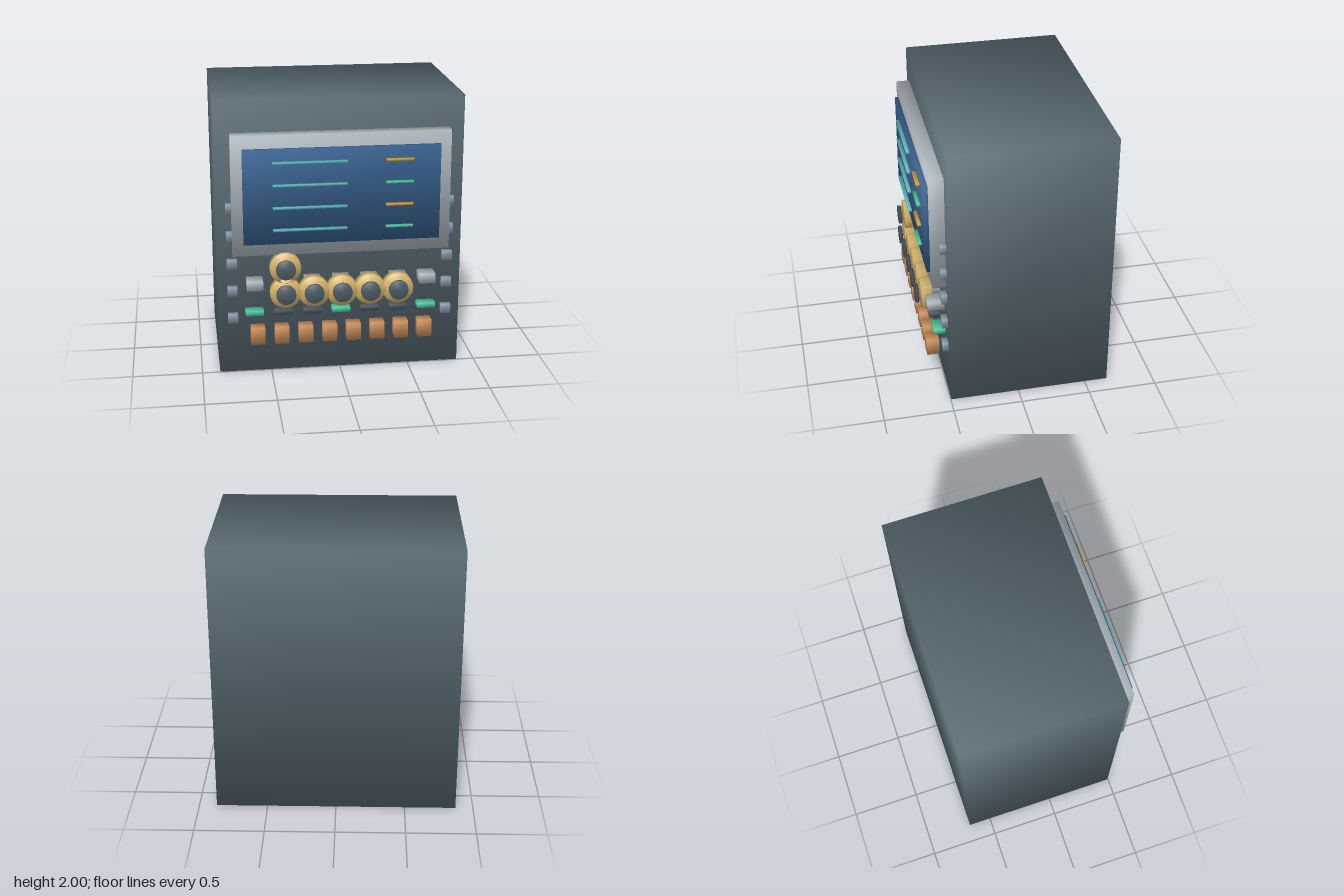
import * as THREE from 'three';
import { mergeVertices } from 'three/addons/utils/BufferGeometryUtils.js';

const paint = (name, color) => {
  const m = new THREE.MeshStandardMaterial({ color });
  m.name = name;
  return m;
};

export function createModel() {
  const model = new THREE.Group();
  model.name = 'controlConsole';

  const slate = paint('slate', 0x5b6c76);
  const charcoal = paint('charcoal', 0x4d5a64);
  const silver = paint('silver', 0xb4bec5);
  const steel = paint('steelBlue', 0x90a2b3);
  const blue = paint('screenBlue', 0x386291);
  const brass = paint('brass', 0xd6b66c);
  const copper = paint('copper', 0xd0935f);
  const green = paint('green', 0x50d0a4);
  const cyan = paint('cyan', 0x62bfc6);
  const amber = paint('amber', 0xdca545);

  // Box whose corner normals are shared by all three faces, for soft shading
  function box(name, mat, w, h, x, y, z0, z1) {
    const g = new THREE.BoxGeometry(w, h, z1 - z0);
    const p = g.attributes.position, n = g.attributes.normal, v = new THREE.Vector3();
    for (let i = 0; i < p.count; i++) {
      v.fromBufferAttribute(p, i);
      v.set(Math.sign(v.x), Math.sign(v.y), Math.sign(v.z)).normalize();
      n.setXYZ(i, v.x, v.y, v.z);
    }
    const mesh = new THREE.Mesh(g, mat);
    mesh.name = name;
    mesh.position.set(x, y, (z0 + z1) / 2);
    model.add(mesh);
  }

  // Disc facing the front, with normals blended over its rim
  function disc(name, mat, r, x, y, z0, z1) {
    let g = new THREE.CylinderGeometry(r, r, z1 - z0, 24);
    g.deleteAttribute('uv');
    g.deleteAttribute('normal');
    g = mergeVertices(g);
    g.computeVertexNormals();
    g.rotateX(Math.PI / 2);
    const mesh = new THREE.Mesh(g, mat);
    mesh.name = name;
    mesh.position.set(x, y, (z0 + z1) / 2);
    model.add(mesh);
  }

  const face = 0.495; // front plane of the cabinet

  // Cabinet, screen surround and screen
  box('cabinet', slate, 1.744, 2, 0, 1, -0.667, face);
  box('screenFrame', silver, 1.53, 0.86, 0, 1.346, face, 0.592);
  box('screen', blue, 1.376, 0.68, 0, 1.344, 0.58, 0.617);

  // Readout lines on the screen
  [1.589, 1.429, 1.268, 1.109].forEach((y, i) => {
    box('longReadout', cyan, 0.516, 0.015, -0.225, y, 0.617, 0.643);
    box('shortReadout', i % 2 ? green : amber, 0.19, 0.015, 0.4, y, 0.617, 0.643);
  });

  // Bolts down both sides
  for (let i = 0; i < 5; i++)
    for (const s of [-1, 1])
      box('bolt', steel, 0.071, 0.07, s * 0.77, 0.425 + i * 0.205, face, 0.536);

  // Silver switches and the indicator lamps below them
  for (let i = -3; i <= 3; i++) {
    box('switch', silver, 0.115, 0.067, i * 0.205, 0.694, face, 0.617);
    box('indicator', i % 3 === 0 ? green : charcoal, 0.129, 0.035, i * 0.206, 0.474, face, 0.579);
  }

  // Dials: brass bezel with a dark knob in front
  const dials = [-0.4, -0.2, 0, 0.2, 0.4].map(x => [x, 0.637]);
  dials.push([-0.4, 0.822]);
  for (const [x, y] of dials) {
    disc('dialBezel', brass, 0.11, x, y, 0.557, 0.627);
    disc('dialKnob', charcoal, 0.07, x, y, 0.646, 0.667);
  }

  // Row of copper keys
  for (let i = 0; i < 8; i++)
    box('key', copper, 0.1, 0.125, (i - 3.5) * 0.1714, 0.318, 0.537, 0.627);

  return model;
}
